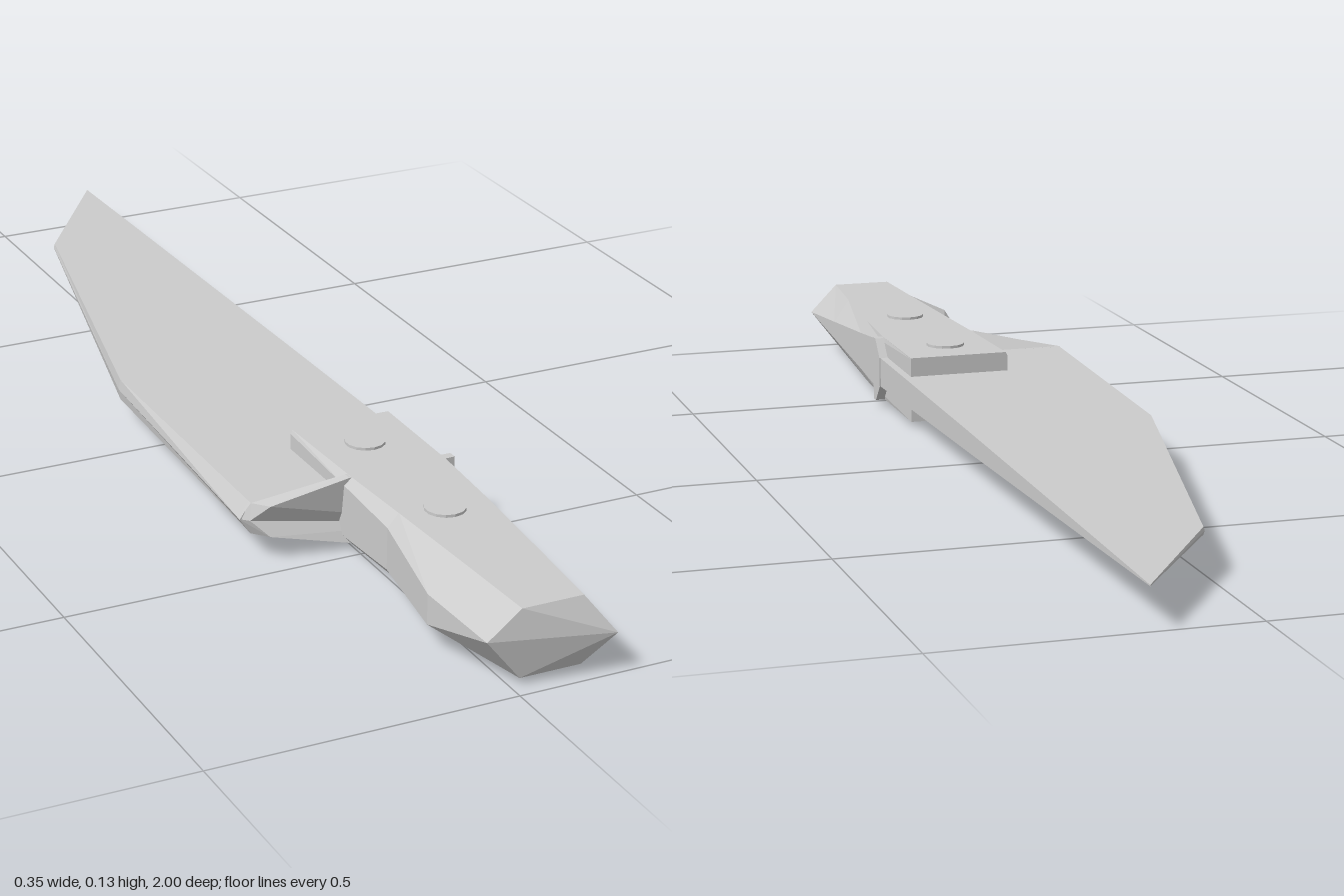
import * as THREE from 'three';

const MID = 0.067; // height of the central plane

// Faceted solid through rings of points, counterclockwise seen from +z, rings ordered by rising z
function loft(name, rings, material) {
  const pos = [];
  const tri = (a, b, c) => pos.push(...a, ...b, ...c);
  const n = rings[0].length;
  for (let i = 0; i < rings.length - 1; i++) {
    for (let j = 0; j < n; j++) {
      const k = (j + 1) % n;
      const [a, b, c, d] = [rings[i][j], rings[i][k], rings[i + 1][k], rings[i + 1][j]];
      tri(a, b, c);
      tri(a, c, d);
    }
  }
  // End caps
  const first = rings[0], last = rings[rings.length - 1];
  for (let j = 1; j < n - 1; j++) {
    tri(first[0], first[j + 1], first[j]);
    tri(last[0], last[j], last[j + 1]);
  }
  const geometry = new THREE.BufferGeometry();
  geometry.setAttribute('position', new THREE.Float32BufferAttribute(pos, 3));
  geometry.computeVertexNormals();
  const mesh = new THREE.Mesh(geometry, material);
  mesh.name = name;
  return mesh;
}

export function createModel() {
  const group = new THREE.Group();
  group.name = 'knife';
  const material = new THREE.MeshStandardMaterial({ color: 0xcccccc, flatShading: true });

  // Blade: z, cutting edge x, bevel x, half thickness
  const bladeRings = [
    [-1, 0.173, 0.173, 0.001],
    [-0.75, 0, 0.002, 0.006],
    [-0.1, -0.15, -0.147, 0.018],
    [0.435, -0.178, -0.16, 0.026],
  ].map(([z, edge, bevel, h]) => [
    [0.173, MID - h, z], [0.173, MID + h, z], [bevel, MID + h, z],
    [edge, MID, z], [bevel, MID - h, z],
  ]);
  group.add(loft('blade', bladeRings, material));

  // Bolster: flares from blade thickness to full handle thickness
  // heel x, bevel x, heel z, bevel z, handle-side z, half thickness at the handle
  const bolsterRings = [
    [-0.178, -0.16, 0.43, 0.43, 0.435, 0.026],
    [-0.178, -0.16, 0.432, 0.437, 0.462, 0.056],
    [-0.165, -0.138, 0.445, 0.462, 0.477, 0.056],
  ].map(([heel, bevel, zh, zb, z, h]) => [
    [0.175, MID - h, z], [0.175, MID + h, z], [-0.01, MID + h, z],
    [bevel, MID + 0.026, zb], [heel, MID, zh],
    [bevel, MID - 0.026, zb], [-0.01, MID - h, z],
  ]);
  group.add(loft('bolster', bolsterRings, material));

  // Handle: z, left x, left half height, top left x, top right x, right half height
  const H = 0.0565;
  const handleRings = [
    [0.28, -0.015, 0.05, -0.012, 0.16, 0.055],
    [0.48, -0.018, 0.043, -0.006, 0.158, 0.048],
    [0.62, -0.018, 0.035, 0.001, 0.149, 0.034],
    [0.82, -0.056, 0.025, 0.01, 0.132, 0.016],
    [0.97, -0.04, 0, 0.016, 0.118, 0],
  ].map(([z, left, lh, topL, topR, rh], i) => {
    const butt = i === 4;
    const zr = butt ? 1 : z; // the butt ridge slants back on the spine side
    const ly = butt ? 0.08 : MID;
    return [
      [0.16, MID - rh, zr], [0.16, MID + rh, zr],
      [topR, MID + H, z], [topL, MID + H, z],
      [left, ly + lh, z], [left, ly - lh, z],
      [topL, MID - H, z], [topR, MID - H, z],
    ];
  });
  group.add(loft('handle', handleRings, material));

  // Rivets through the handle
  for (const z of [0.37, 0.635]) {
    const rivet = new THREE.Mesh(new THREE.CylinderGeometry(0.033, 0.033, 0.128, 14), material);
    rivet.name = 'rivet';
    rivet.position.set(0.072, 0.064, z);
    group.add(rivet);
  }

  return group;
}
